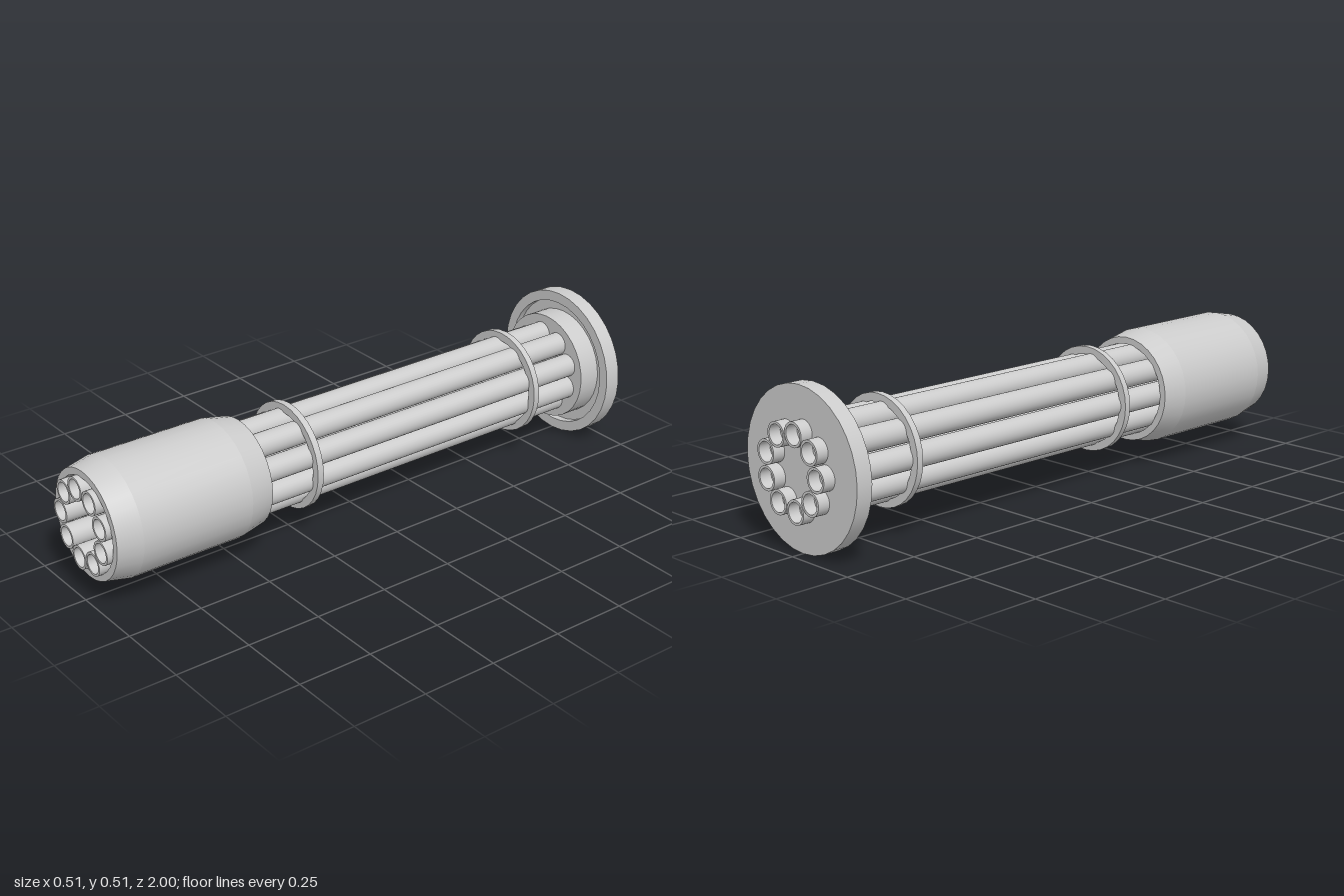
import * as THREE from 'three';
import { mergeGeometries } from 'three/addons/utils/BufferGeometryUtils.js';

const material = new THREE.MeshStandardMaterial({ color: 0xcccccc });

// Turned part along z from [radius, z] points; every profile edge stays sharp
function turned(name, profile, sides = 32) {
  const bands = [];
  for (let i = 0; i < profile.length - 1; i++) {
    const pair = [profile[i], profile[i + 1]].map(([r, z]) => new THREE.Vector2(r, z));
    bands.push(new THREE.LatheGeometry(pair, sides));
  }
  const mesh = new THREE.Mesh(mergeGeometries(bands).rotateX(Math.PI / 2), material);
  mesh.name = name;
  return mesh;
}

// Hollow cylinder between two z positions
const tube = (name, outer, inner, z0, z1) =>
  turned(name, [[inner, z0], [outer, z0], [outer, z1], [inner, z1], [inner, z0]]);

export function createModel() {
  const model = new THREE.Group();
  model.name = 'rotaryBarrelCluster';
  const AXIS_Y = 0.255;

  // Ring of nine hollow barrels
  const barrels = new THREE.Group();
  barrels.name = 'barrels';
  const COUNT = 9, RING = 0.118;
  for (let i = 0; i < COUNT; i++) {
    const a = Math.PI + (i / COUNT) * Math.PI * 2;
    const barrel = tube('barrel', 0.039, 0.031, -1, 1);
    barrel.position.set(RING * Math.cos(a), RING * Math.sin(a), 0);
    barrels.add(barrel);
  }
  model.add(barrels);

  // Chamfered muzzle sleeve, open through the middle
  model.add(turned('muzzleShroud', [
    [0.155, 0.43], [0.178, 0.43], [0.195, 0.515], [0.195, 0.9],
    [0.178, 0.982], [0.155, 0.982], [0.155, 0.43],
  ]));

  // Two thin clamping bands
  for (const z of [0.247, -0.655]) {
    model.add(tube('clampRing', 0.177, 0.15, z - 0.011, z + 0.011));
  }

  // Rear flange with a recessed face and a raised hub
  model.add(turned('rearFlange', [
    [0, -0.96], [0.255, -0.96], [0.255, -0.905], [0.22, -0.905],
    [0.22, -0.93], [0.184, -0.93], [0.184, -0.853], [0, -0.853],
  ]));

  model.children.forEach((part) => { part.position.y = AXIS_Y; });
  return model;
}
